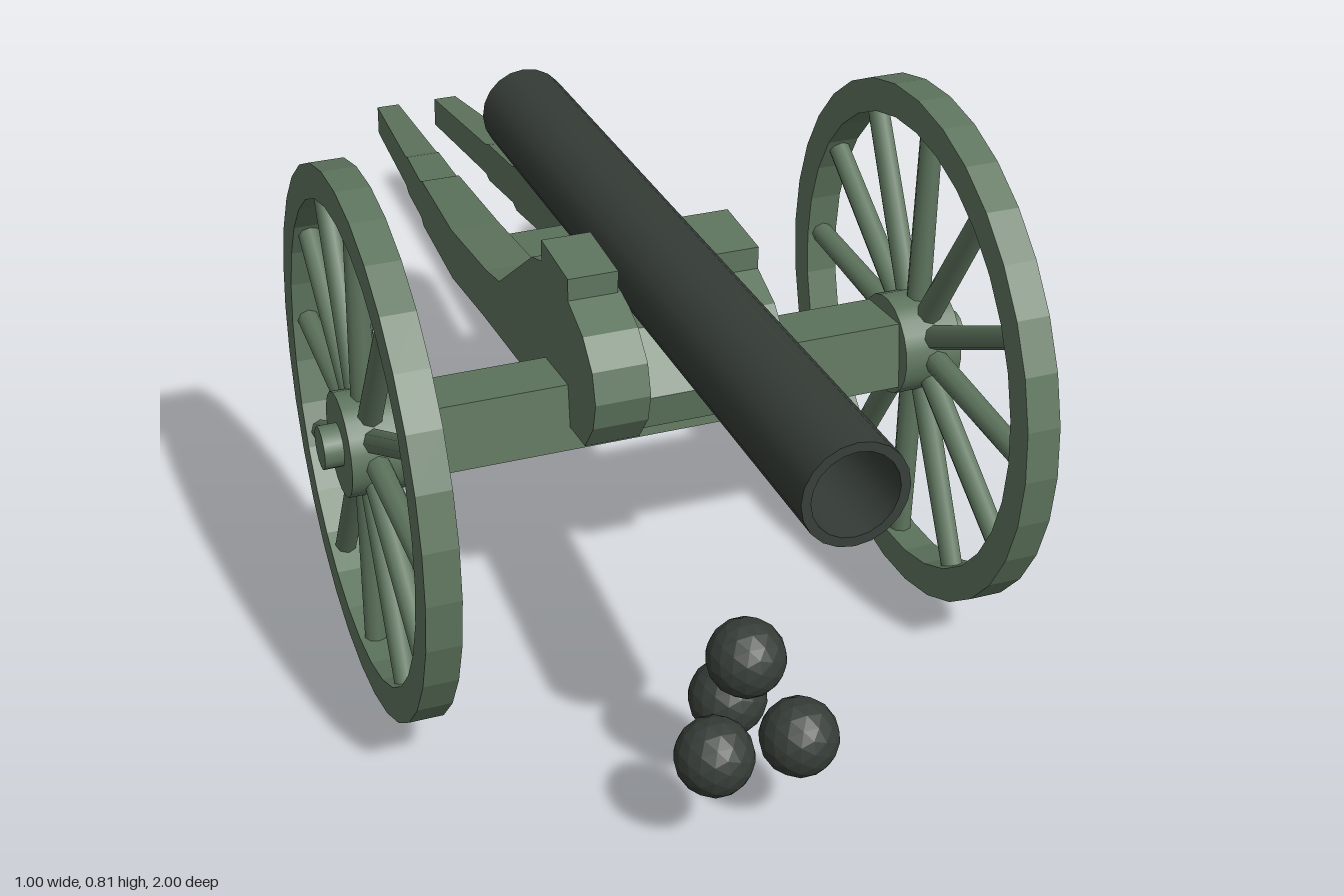
import * as THREE from 'three';
import { toCreasedNormals } from 'three/addons/utils/BufferGeometryUtils.js';

const lerp = THREE.MathUtils.lerp;

// Flat ring with a hole, thickness centred on its axis (z)
function ringGeometry(outer, inner, depth, segments) {
  const shape = new THREE.Shape();
  shape.absarc(0, 0, outer, 0, Math.PI * 2, false);
  const hole = new THREE.Path();
  hole.absarc(0, 0, inner, 0, Math.PI * 2, true);
  shape.holes.push(hole);
  const g = new THREE.ExtrudeGeometry(shape, { depth, bevelEnabled: false, curveSegments: segments });
  g.translate(0, 0, -depth / 2);
  return g;
}

// Side outline of [z, y] points spread across x between two limits that may vary with z
function slabGeometry(points, xMin, xMax) {
  const shape = new THREE.Shape(points.map(([z, y]) => new THREE.Vector2(z, y)));
  const g = new THREE.ExtrudeGeometry(shape, { depth: 1, bevelEnabled: false });
  g.rotateY(-Math.PI / 2);
  const p = g.attributes.position;
  for (let i = 0; i < p.count; i++) {
    const z = p.getZ(i);
    p.setX(i, lerp(xMin(z), xMax(z), p.getX(i) + 1));
  }
  g.computeVertexNormals();
  return g;
}

export function createModel() {
  const green = new THREE.MeshStandardMaterial({ color: 0x5f765f });
  green.name = 'paintedGreen';
  const iron = new THREE.MeshStandardMaterial({ color: 0x363d37, });
  iron.name = 'darkIron';

  const model = new THREE.Group();
  model.name = 'fieldCannon';
  const add = (parent, name, geometry, material, x = 0, y = 0, z = 0) => {
    const mesh = new THREE.Mesh(geometry, material);
    mesh.name = name;
    mesh.position.set(x, y, z);
    parent.add(mesh);
    return mesh;
  };

  // Barrel: open tube, muzzle slightly raised
  const barrel = add(model, 'barrel', toCreasedNormals(ringGeometry(0.072, 0.059, 1.31, 10), 0.7), iron, 0.009, 0.613, 0.338);
  barrel.rotation.x = -0.073;

  // Carriage
  const carriage = new THREE.Group();
  carriage.name = 'carriage';
  carriage.position.x = 0.003;
  model.add(carriage);

  const cheek = [
    [-0.25, 0.40], [-0.05, 0.432], [0.02, 0.45], [0.19, 0.585], [0.235, 0.602], [0.355, 0.602],
    [0.42, 0.58], [0.46, 0.545], [0.475, 0.5], [0.465, 0.455], [0.43, 0.405], [0.25, 0.38],
    [-0.07, 0.337], [-0.25, 0.308],
  ];
  const trail = [
    [-1, 0.267], [-0.69, 0.316], [-0.67, 0.324], [-0.54, 0.342], [-0.52, 0.352], [-0.25, 0.40],
    [-0.25, 0.308], [-0.52, 0.263], [-0.54, 0.27], [-0.67, 0.25], [-0.69, 0.256], [-1, 0.212],
  ];
  const taper = (z) => THREE.MathUtils.clamp((-0.25 - z) / 0.75, 0, 1);
  const outer = (z) => lerp(0.144, 0.078, taper(z));
  const inner = (z) => lerp(0.062, 0.036, taper(z));

  for (const side of [1, -1]) {
    const label = side > 0 ? 'left' : 'right';
    const low = side > 0 ? inner : (z) => -outer(z);
    const high = side > 0 ? outer : (z) => -inner(z);
    add(carriage, label + 'Cheek', slabGeometry(cheek, low, high), green);
    add(carriage, label + 'Trail', slabGeometry(trail, low, high), green);
    add(carriage, label + 'TrunnionCap', new THREE.BoxGeometry(0.075, 0.06, 0.12), green, side * 0.1065, 0.607, 0.295);
  }

  // Bed between the cheeks, carrying the barrel
  const bed = [
    [-0.25, 0.375], [0, 0.42], [0.12, 0.52], [0.36, 0.54], [0.43, 0.465], [0.42, 0.41],
    [0.25, 0.381], [-0.07, 0.338], [-0.25, 0.309],
  ];
  add(carriage, 'bed', slabGeometry(bed, () => -0.062, () => 0.062), green);

  // Axle beam, tilted with the trail
  const axle = add(model, 'axleBeam', new THREE.BoxGeometry(0.83, 0.104, 0.105), green, 0, 0.404, 0.31);
  axle.rotation.x = -0.14;

  // Wheels
  const rim = ringGeometry(0.403, 0.352, 0.05, 16);
  const spoke = new THREE.CylinderGeometry(0.017, 0.019, 0.31, 8);
  const hub = new THREE.CylinderGeometry(0.077, 0.077, 0.09, 20);
  const axleEnd = new THREE.CylinderGeometry(0.032, 0.032, 0.12, 14);
  for (const side of [1, -1]) {
    const wheel = new THREE.Group();
    wheel.name = side > 0 ? 'leftWheel' : 'rightWheel';
    wheel.position.set(side * 0.431, 0.405, 0.313);
    wheel.rotation.y = side * Math.PI / 2;
    model.add(wheel);
    add(wheel, 'rim', rim, green);
    add(wheel, 'hub', hub, green, 0, 0, -0.006).rotation.x = Math.PI / 2;
    add(wheel, 'axleEnd', axleEnd, green, 0, 0, 0.007).rotation.x = Math.PI / 2;
    for (let i = 0; i < 12; i++) {
      const a = (i / 12) * Math.PI * 2;
      add(wheel, 'spoke', spoke, green, -Math.sin(a) * 0.21, Math.cos(a) * 0.21, 0).rotation.z = a;
    }
  }

  // Cannonballs: a stacked pile in front, two loose ones behind
  const ball = new THREE.IcosahedronGeometry(0.055, 2);
  ball.computeVertexNormals();
  const spots = [
    [-0.107, 0.178, 0.86], [0.015, 0.178, 0.86], [-0.045, 0.178, 0.752], [-0.042, 0.283, 0.802],
    [0.2, 0.073, -0.67], [0.243, 0.073, -0.797],
  ];
  for (const [x, y, z] of spots) add(model, 'cannonball', ball, iron, x, y, z);

  return model;
}
